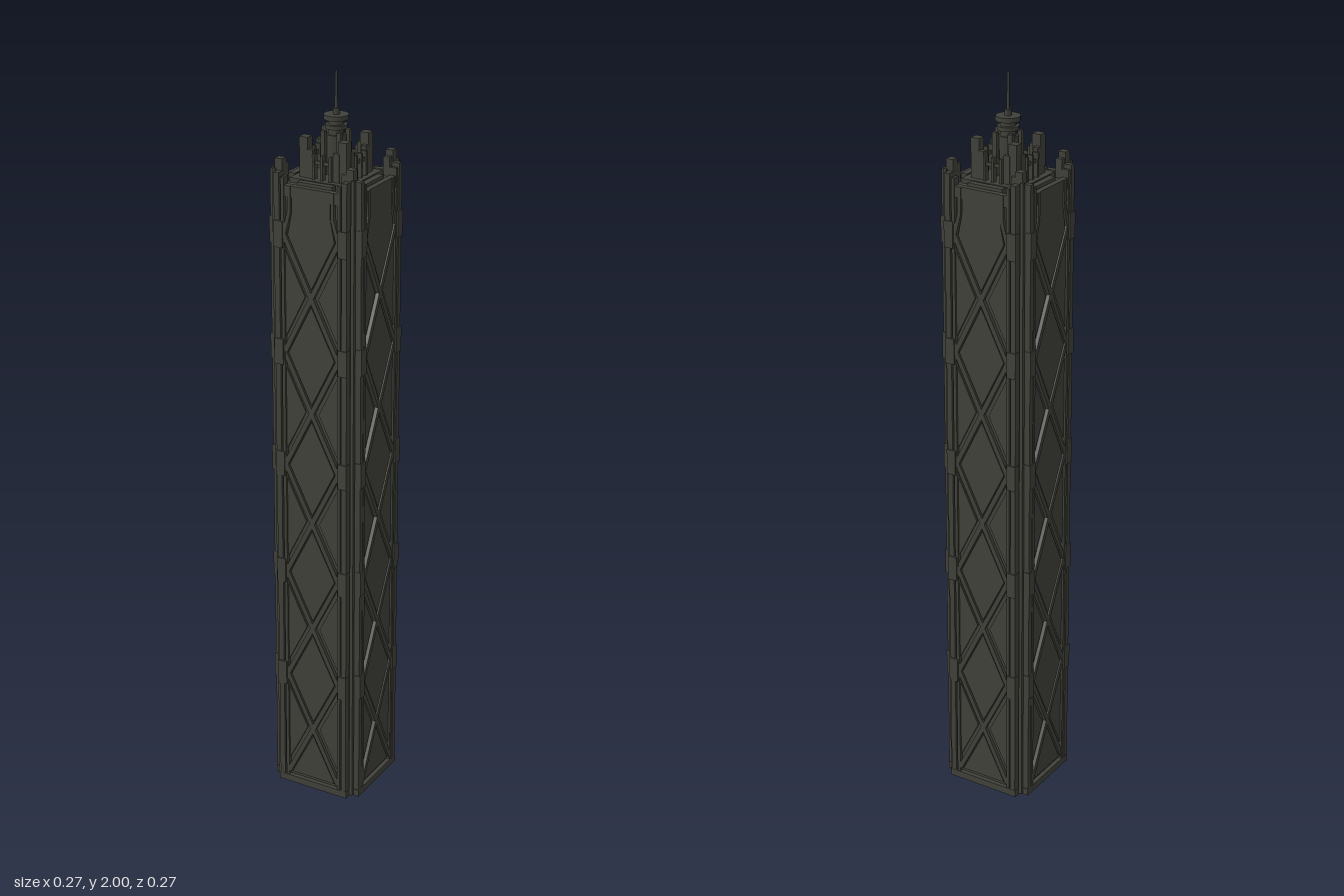
import * as THREE from 'three';

export function createModel() {
  const model = new THREE.Group();
  model.name = 'skyscraper';
  const stone = new THREE.MeshStandardMaterial({ color: 0x40413a });
  stone.name = 'dark olive grey';

  const add = (parent, name, geometry, x = 0, y = 0, z = 0) => {
    const mesh = new THREE.Mesh(geometry, stone);
    mesh.name = name;
    mesh.position.set(x, y, z);
    parent.add(mesh);
    return mesh;
  };
  // Box given by its centre in plan and its bottom and top heights
  const block = (parent, name, w, d, y0, y1, x, z) =>
    add(parent, name, new THREE.BoxGeometry(w, y1 - y0, d), x, (y0 + y1) / 2, z);
  const shapeOf = (pts) => new THREE.Shape(pts.map(([x, y]) => new THREE.Vector2(x, y)));
  const extrude = (pts, depth) => new THREE.ExtrudeGeometry(shapeOf(pts), { depth, bevelEnabled: false });

  // Plus-shaped footprint with notched corners
  const notched = (a, b) => [[-b, -a], [b, -a], [b, -b], [a, -b], [a, b], [b, b],
    [b, a], [-b, a], [-b, b], [-a, b], [-a, -b], [-b, -b]];
  const slab = (name, a, b, y0, y1) =>
    add(model, name, extrude(notched(a, b), y1 - y0).rotateX(-Math.PI / 2), 0, y0, 0);
  slab('base', 0.131, 0.106, 0, 0.02);
  slab('core', 0.119, 0.102, 0.01, 1.715);
  slab('roofDeck', 0.106, 0.098, 1.715, 1.725);

  const STEP = 0.314, FIRST = 0.032, HALF = 0.078, TOP = 1.73;
  const nodes = Array.from({ length: 6 }, (_, i) => FIRST + i * STEP);

  // Raised strip between two points on a facade
  const strip = (parent, name, x0, y0, x1, y1, width, z, depth) => {
    const length = Math.hypot(x1 - x0, y1 - y0);
    const mesh = add(parent, name, new THREE.BoxGeometry(width, length, depth), (x0 + x1) / 2, (y0 + y1) / 2, z);
    mesh.rotation.z = -Math.atan2(x1 - x0, y1 - y0);
  };

  for (let side = 0; side < 4; side++) {
    const face = new THREE.Group();
    face.name = 'facade' + (side + 1);
    face.rotation.y = side * Math.PI / 2;
    model.add(face);

    // Diamond panels between the crossings; the top one is a tall hexagon
    nodes.forEach((y, i) => {
      const w = HALF - 0.011, h = STEP / 2 - 0.023;
      let pts = [[0, y - h], [w, y], [0, y + h], [-w, y]];
      if (i === 0) pts = [[-w, y], [w, y], [0, y + h]];
      if (i === 5) pts = [[0, y - h], [w, y], [0.055, y + 0.06], [0.055, TOP], [-0.055, TOP], [-0.055, y + 0.06], [-w, y]];
      add(face, 'diamondPanel', extrude(pts, 0.01), 0, 0, 0.117);
    });

    for (const s of [-1, 1]) {
      // Crossing braces with a thin fillet beside each
      for (let i = 0; i < 5; i++) {
        strip(face, 'brace', -s * HALF, nodes[i], s * HALF, nodes[i + 1], 0.013, 0.1225, 0.013);
        const mid = nodes[i] + STEP / 2, h = STEP / 2 - 0.038;
        const tri = [[HALF, mid - h], [HALF, mid + h], [0.019, mid]];
        add(face, 'sidePanel', extrude(s > 0 ? tri : tri.map(([x, y]) => [-x, y]).reverse(), 0.007), 0, 0, 0.117);
      }
      strip(face, 'topBrace', s * HALF, nodes[5], s * 0.062, nodes[5] + 0.06, 0.01, 0.123, 0.013);
      strip(face, 'topRib', s * 0.062, nodes[5] + 0.055, s * 0.062, TOP, 0.009, 0.123, 0.013);

      // Paired edge columns and the collars at each brace node
      block(face, 'innerColumn', 0.009, 0.022, 0.01, 1.75, s * 0.0805, 0.1185);
      block(face, 'edgeColumn', 0.015, 0.026, 0.01, 1.76, s * 0.0965, 0.1175);
      for (const y of nodes.slice(1)) {
        block(face, 'nodeCollar', 0.026, 0.018, y - 0.035, y + 0.035, s * 0.0925, 0.1245);
      }
    }
    // Parapet and long roof vent
    block(face, 'parapet', 0.155, 0.016, 1.7, TOP, 0, 0.119);
    block(face, 'roofVent', 0.1, 0.018, 1.72, 1.737, 0, 0.099);

    // Corner column filling the notch
    block(face, 'cornerColumn', 0.021, 0.021, 0.005, 1.79, 0.101, 0.101);
    block(face, 'cornerRib', 0.009, 0.009, 0.005, 1.765, 0.112, 0.112);
    block(face, 'cornerStep', 0.018, 0.018, 1.7, 1.775, 0.086, 0.1);

    // L-shaped tower at each corner of the crown
    block(face, 'crownTower', 0.024, 0.024, 1.72, 1.84, 0.055, 0.055);
    block(face, 'crownTowerWing', 0.018, 0.014, 1.72, 1.81, 0.038, 0.061);
    block(face, 'crownTowerWing', 0.014, 0.018, 1.72, 1.81, 0.061, 0.038);

    // Slim linked posts in the middle of each crown side
    for (const x of [-0.024, 0, 0.024]) block(face, 'crownPost', 0.007, 0.015, 1.72, 1.8, x, 0.066);
    block(face, 'crownRail', 0.055, 0.006, 1.775, 1.785, 0, 0.066);
  }

  // Raised roof platform
  block(model, 'roofPlatform', 0.17, 0.17, 1.715, 1.737, 0, 0);

  // Central mast: octagonal drum, piers and discs
  const drum = (name, r, y0, y1, n = 8) =>
    add(model, name, new THREE.CylinderGeometry(r, r, y1 - y0, n).rotateY(Math.PI / n), 0, (y0 + y1) / 2, 0);
  drum('mastDrum', 0.026, 1.73, 1.84);
  for (let i = 0; i < 4; i++) {
    const a = (i + 0.5) * Math.PI / 2;
    block(model, 'mastPier', 0.012, 0.012, 1.73, 1.85, Math.cos(a) * 0.032, Math.sin(a) * 0.032);
  }
  drum('mastNeck', 0.02, 1.84, 1.88, 16);
  drum('lowerDisc', 0.028, 1.855, 1.865, 16);
  drum('upperDisc', 0.032, 1.878, 1.89, 16);
  drum('antennaFoot', 0.009, 1.89, 1.905, 12);
  add(model, 'antenna', new THREE.CylinderGeometry(0.003, 0.0045, 0.11, 8), 0, 1.945, 0);

  return model;
}
